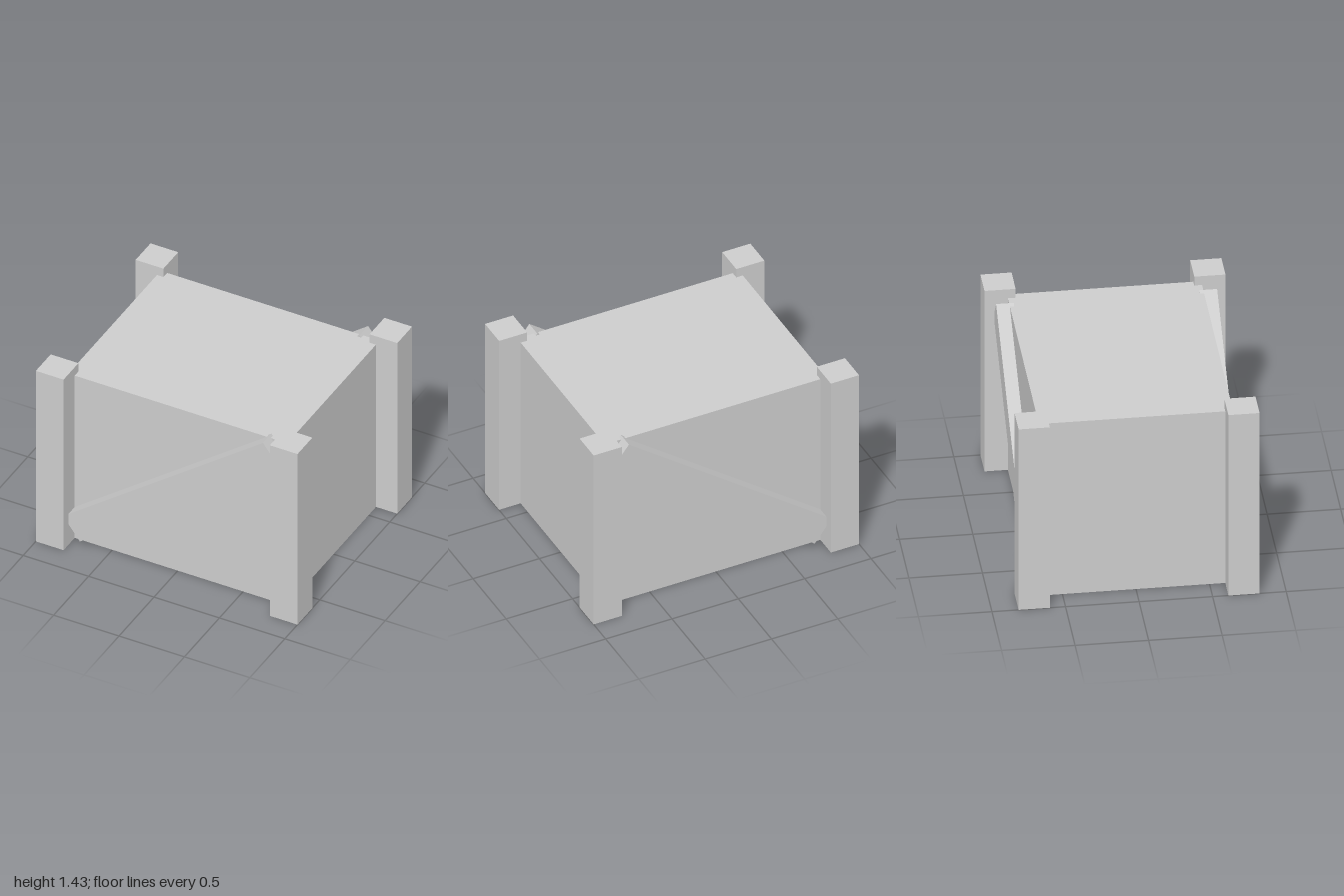
import * as THREE from 'three';

export function createModel() {
  const model = new THREE.Group();
  model.name = 'crate';
  const grey = new THREE.MeshStandardMaterial({ color: 0xcccccc });
  grey.name = 'light grey';

  function addBox(name, size, position, tilt = 0) {
    const mesh = new THREE.Mesh(new THREE.BoxGeometry(...size), grey);
    mesh.name = name;
    mesh.position.set(...position);
    mesh.rotation.z = tilt;
    model.add(mesh);
  }

  // Main body
  addBox('body', [1.674, 1.36, 1.32], [0, 0.68, 0]);

  for (const z of [1, -1]) {
    const end = z > 0 ? 'front' : 'back';

    // Corner posts, taller than the body
    for (const x of [1, -1]) {
      addBox(`${end}${x > 0 ? 'Left' : 'Right'}Post`, [0.212, 1.43, 0.212], [x * 0.894, 0.715, z * 0.713]);
    }

    // Diagonal brace, rising toward +x on both faces
    addBox(`${end}Brace`, [1.91, 0.212, 0.12], [0, 0.717, z * 0.691], Math.atan(0.75));
  }

  return model;
}
